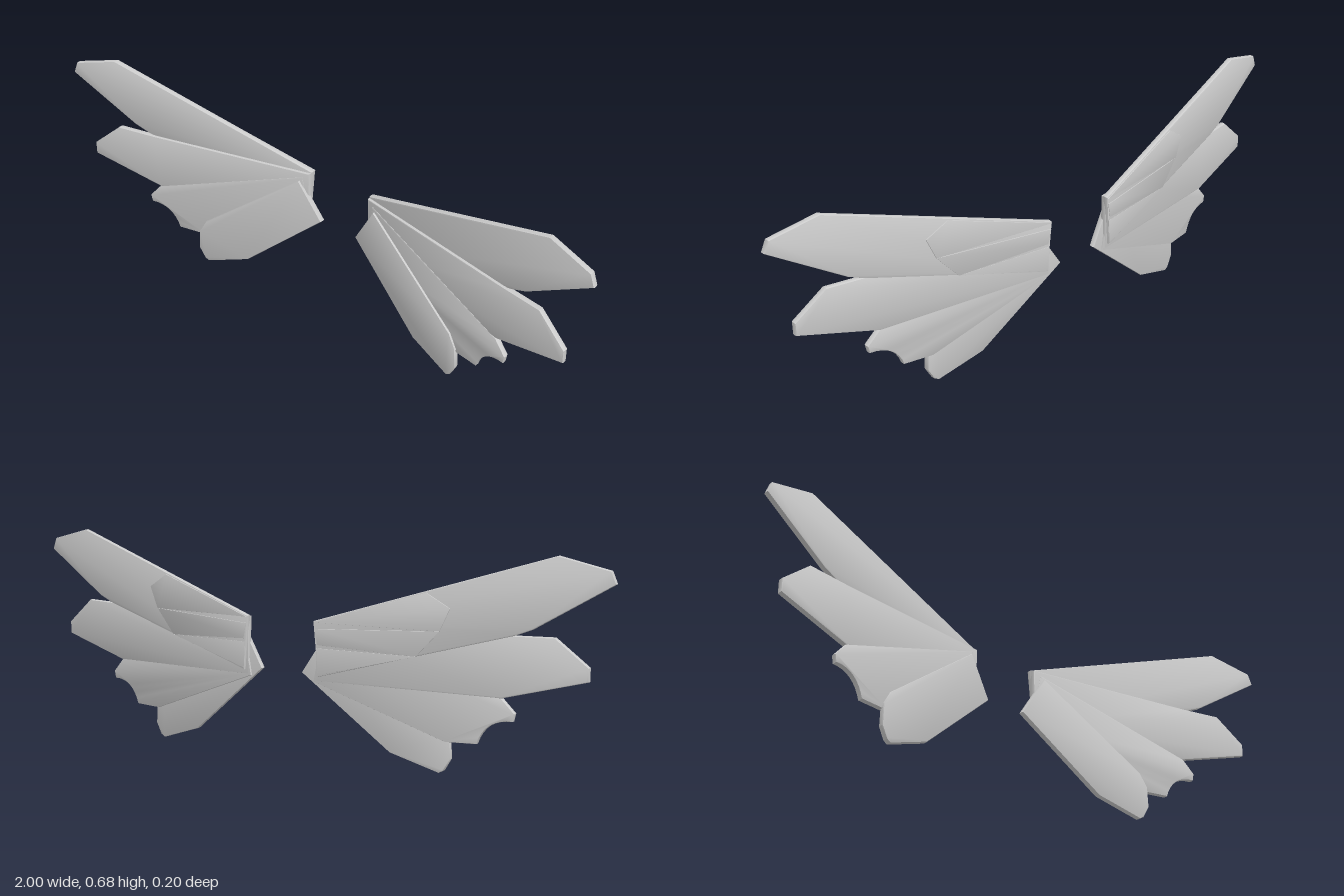
import * as THREE from 'three';
import { toCreasedNormals } from 'three/addons/utils/BufferGeometryUtils.js';

const material = new THREE.MeshStandardMaterial({ color: 0xcccccc, side: THREE.DoubleSide });

// Thin bevelled blade, leaning forward towards the wing tip
function blade(name, outline, side, offset, thickness, bevel) {
  const shape = new THREE.Shape(outline.map(([x, y]) => new THREE.Vector2(side * x, y)));
  const geo = new THREE.ExtrudeGeometry(shape, {
    depth: thickness - 2 * bevel, bevelEnabled: true, bevelThickness: bevel,
    bevelSize: bevel, bevelOffset: -bevel, bevelSegments: 2,
  });
  geo.translate(0, 0, offset - thickness / 2 + bevel);
  const p = geo.attributes.position;
  for (let i = 0; i < p.count; i++) {
    p.setZ(i, p.getZ(i) - 0.09 + 0.203 * (Math.abs(p.getX(i)) - 0.115));
  }
  geo.computeVertexNormals();
  const mesh = new THREE.Mesh(toCreasedNormals(geo, 0.6), material);
  mesh.name = name;
  return mesh;
}

// Concave tip of the third feather
const notch = new THREE.QuadraticBezierCurve(
  new THREE.Vector2(0.61, 0.1), new THREE.Vector2(0.635, 0.18), new THREE.Vector2(0.715, 0.175),
).getPoints(8).map((v) => [v.x, v.y]);

// Feathers from the top (rearmost) to the bottom (foremost)
const feathers = [
  { name: 'topFeather', offset: 0, outline: [[0.115, 0.453], [0.835, 0.677], [0.985, 0.638],
    [1, 0.6], [0.77, 0.458], [0.72, 0.438], [0.13, 0.28]] },
  { name: 'upperMiddleFeather', offset: 0.01, outline: [[0.117, 0.45], [0.69, 0.435], [0.83, 0.435],
    [0.93, 0.35], [0.93, 0.308], [0.68, 0.245], [0.12, 0.265]] },
  { name: 'notchedFeather', offset: 0.012, outline: [[0.14, 0.435], [0.68, 0.245], [0.72, 0.2],
    ...notch.reverse(), [0.515, 0.1], [0.11, 0.262]] },
  { name: 'bottomFeather', offset: 0.02, outline: [[0.15, 0.42], [0.5, 0.16], [0.527, 0.115],
    [0.53, 0.045], [0.51, 0.008], [0.495, 0], [0.345, 0.053], [0.07, 0.288]] },
];

// Short overlapping coverts on the back of the top feather
const coverts = [
  [[0.117, 0.45], [0.46, 0.555], [0.53, 0.51], [0.5, 0.44]],
  [[0.12, 0.43], [0.5, 0.44], [0.43, 0.36], [0.13, 0.38]],
  [[0.125, 0.37], [0.43, 0.36], [0.13, 0.285]],
];

export function createModel() {
  const model = new THREE.Group();
  model.name = 'wings';
  for (const side of [1, -1]) {
    const wing = new THREE.Group();
    wing.name = side > 0 ? 'leftWing' : 'rightWing';
    for (const f of feathers) wing.add(blade(f.name, f.outline, side, f.offset, 0.022, 0.005));
    coverts.forEach((outline, i) => {
      wing.add(blade(`backCovert${i + 1}`, outline, side, -0.011 + 0.0012 * i, 0.006, 0.001));
    });
    model.add(wing);
  }
  return model;
}
